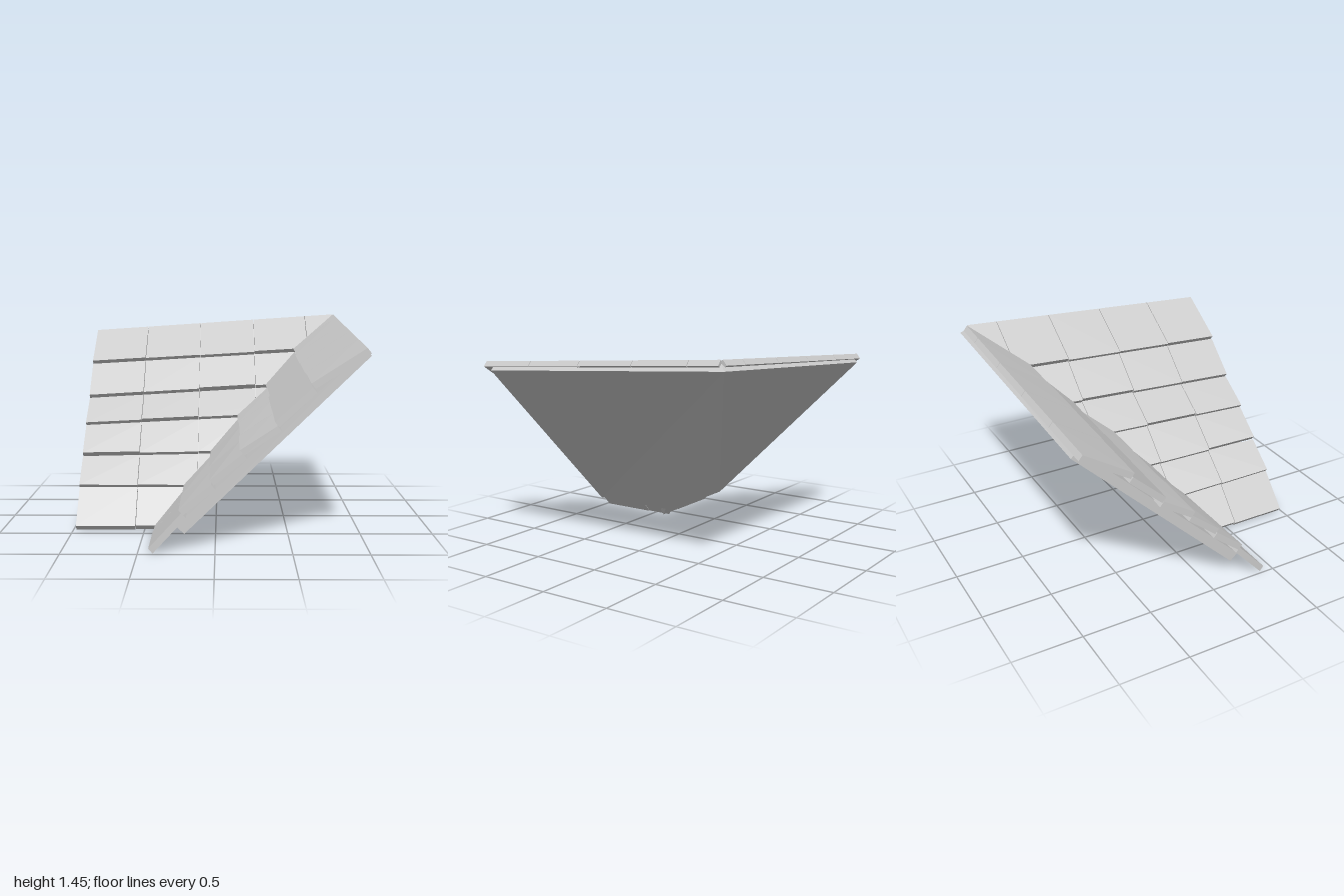
import * as THREE from 'three';

// Tile rows from eave to ridge: front edge depth, height at the left end, rise along x
const ROWS = [
  { z: 0.43, y: 0.045, rise: 0 },
  { z: 0.23, y: 0.30, rise: -0.005 },
  { z: 0.04, y: 0.49, rise: 0.02 },
  { z: -0.16, y: 0.69, rise: 0.05 },
  { z: -0.38, y: 0.87, rise: 0.06 },
  { z: -0.60, y: 1.11, rise: 0.06 },
  { z: -0.95, y: 1.335, rise: 0.067 },
];
const COLUMNS = [-0.98, -0.56, -0.13, 0.30, 0.72, 0.945];
const LIP = 0.034;   // tile thickness, measured vertically
const TUCK = 0.06;   // how far a tile runs under the other slope at the valley

const edgeHeight = (row, x) => row.y + row.rise * (x + 0.98);

// Solid between two matching convex outlines (counter-clockwise from above).
// mirrored swaps it across the valley plane x = -z.
function prism(top, bottom, mirrored) {
  const pos = [];
  const tri = (a, b, c) => {
    for (const [x, y, z] of mirrored ? [a, c, b] : [a, b, c]) {
      pos.push(...(mirrored ? [-z, y, -x] : [x, y, z]));
    }
  };
  const n = top.length;
  for (let i = 1; i < n - 1; i++) {
    tri(top[0], top[i], top[i + 1]);
    tri(bottom[0], bottom[i + 1], bottom[i]);
  }
  for (let i = 0; i < n; i++) {
    const j = (i + 1) % n;
    tri(top[i], bottom[i], bottom[j]);
    tri(top[i], bottom[j], top[j]);
  }
  const geometry = new THREE.BufferGeometry();
  geometry.setAttribute('position', new THREE.Float32BufferAttribute(pos, 3));
  geometry.computeVertexNormals();
  return geometry;
}

// Keep the part of a plan outline on this side of the valley
function clipAtValley(points) {
  const out = [];
  points.forEach((p, i) => {
    const q = points[(i + 1) % points.length];
    const dp = p[0] + p[1] - TUCK;
    const dq = q[0] + q[1] - TUCK;
    if (dp <= 0) out.push(p);
    if (dp * dq < 0) {
      const t = dp / (dp - dq);
      out.push([p[0] + (q[0] - p[0]) * t, p[1] + (q[1] - p[1]) * t]);
    }
  });
  return out;
}

function tileGeometry(r, c, mirrored) {
  const low = ROWS[r];
  const high = ROWS[r + 1];
  const last = r === ROWS.length - 2;
  const drop = last ? 0 : LIP + 0.003;
  const back = last ? high.z : high.z - 0.015;
  const shift = 0.005 * Math.sin(r * 2.3 + c * 4.1);
  const x0 = COLUMNS[c];
  const x1 = COLUMNS[c + 1] - 0.004;
  const plan = clipAtValley([[x0, low.z + shift], [x1, low.z + shift], [x1, back], [x0, back]]);
  if (plan.length < 3) return null;
  const top = plan.map(([x, z]) => {
    const t = (low.z - z) / (low.z - high.z);
    const y = edgeHeight(low, x) * (1 - t) + (edgeHeight(high, x) - drop) * t;
    return [x, y, z];
  });
  const bottom = top.map(([x, y, z]) => [x, y - LIP, z - 0.028]);
  return prism(top, bottom, mirrored);
}

function createSlope(name, mirrored, material) {
  const slope = new THREE.Group();
  slope.name = name;

  // Roof deck under the tiles, with a square-cut ridge and eave
  const deckTop = [[-0.9, 0.17, 0.255], [-0.255, 0.17, 0.255], [0.945, 1.437, -0.945], [-0.9, 1.325, -0.945]];
  const deckBottom = [[-0.9, 0.12, 0.2], [-0.2, 0.12, 0.2], [0.99, 1.4, -0.99], [-0.9, 1.28, -0.99]];
  const deck = new THREE.Mesh(prism(deckTop, deckBottom, mirrored), material);
  deck.name = 'roofDeck';
  slope.add(deck);

  // Overlapping tiles, cut along the valley
  for (let r = 0; r < ROWS.length - 1; r++) {
    for (let c = 0; c < COLUMNS.length - 1; c++) {
      const geometry = tileGeometry(r, c, mirrored);
      if (!geometry) continue;
      const tile = new THREE.Mesh(geometry, material);
      tile.name = `roofTile_${r + 1}_${c + 1}`;
      slope.add(tile);
    }
  }
  return slope;
}

export function createModel() {
  const model = new THREE.Group();
  model.name = 'roofValleyCorner';
  const material = new THREE.MeshStandardMaterial({ color: 0xcccccc, flatShading: true });
  model.add(createSlope('backSlope', false, material));
  model.add(createSlope('leftSlope', true, material));
  return model;
}
